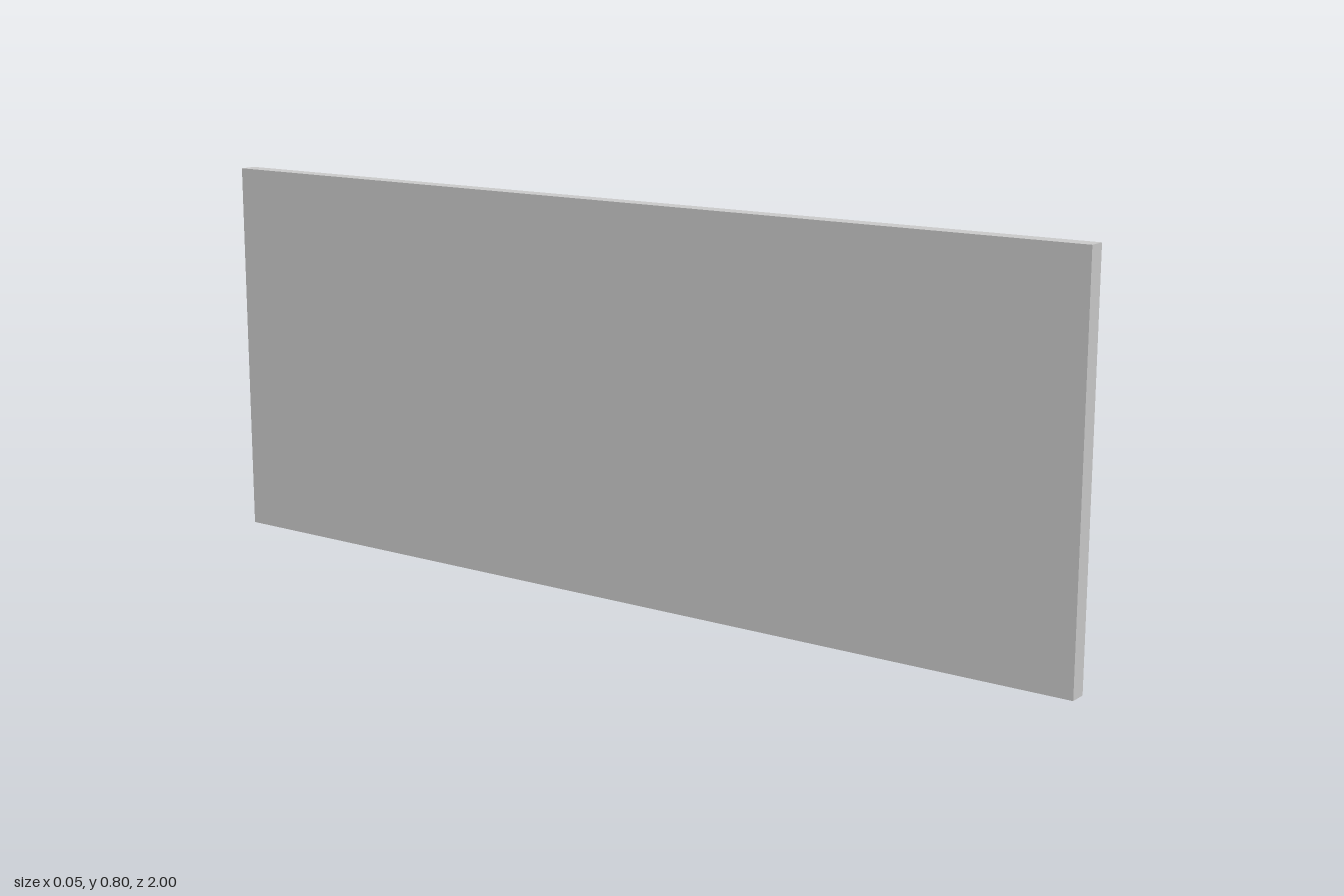
import * as THREE from 'three';

const H = 0.795, BACK = -0.023, FACE = 0.014, POCKET = 0.026;
const FITTING_Z = 0.84, CUP_Y = 0.748, CUP_R = 0.021;

export function createModel() {
  const group = new THREE.Group();
  const material = new THREE.MeshStandardMaterial({ color: 0xcccccc, flatShading: true });
  // The whole panel leans very slightly towards -x
  const lean = new THREE.Matrix4().makeShear(0, 0, -0.003 / H, 0, 0, 0);
  lean.set(1, -0.003 / H, 0, 0, 0, 1, 0, 0, 0, 0, 1, 0, 0, 0, 0, 1);

  const add = (name, geometry, parent = group) => {
    geometry.applyMatrix4(lean);
    const mesh = new THREE.Mesh(geometry, material);
    mesh.name = name;
    parent.add(mesh);
  };
  // Extrude a (z, y) outline along +x, starting at x
  const extrudeX = (shape, depth, x) =>
    new THREE.ExtrudeGeometry(shape, { depth, bevelEnabled: false, curveSegments: 20 })
      .rotateY(Math.PI / 2).translate(x, 0, 0);

  // Solid back layer
  const backDepth = FACE - POCKET - BACK;
  add('panelBack', new THREE.BoxGeometry(backDepth, H, 2).translate(BACK + backDepth / 2, H / 2, 0));

  // Face layer with a round pocket and a narrow neck above it at each fitting
  const face = new THREE.Shape();
  face.moveTo(-1, 0).lineTo(1, 0).lineTo(1, H).lineTo(-1, H).closePath();
  for (const side of [-1, 1]) {
    const cup = new THREE.Path(), z = side * FITTING_Z, a = 0.95;
    cup.absarc(z, CUP_Y, CUP_R, Math.PI - a, a, false);
    cup.lineTo(z + CUP_R * Math.cos(a), 0.78);
    cup.lineTo(z - CUP_R * Math.cos(a), 0.78);
    cup.closePath();
    face.holes.push(cup);
  }
  add('panelFace', extrudeX(face, POCKET, FACE - POCKET));

  // Domed side profile of a lug
  const lug = new THREE.Shape();
  lug.moveTo(FACE - 0.002, 0.703).lineTo(FACE + 0.004, 0.703);
  lug.quadraticCurveTo(FACE + 0.0205, 0.73, FACE + 0.004, 0.757);
  lug.lineTo(FACE - 0.002, 0.757).closePath();

  for (const side of [-1, 1]) {
    const fitting = new THREE.Group();
    fitting.name = side > 0 ? 'frontFitting' : 'backFitting';
    group.add(fitting);
    const z = side * FITTING_Z;
    for (const s of [-1, 1]) {
      const geometry = new THREE.ExtrudeGeometry(lug, { depth: 0.035, bevelEnabled: false, curveSegments: 10 });
      add('lug', geometry.translate(0, 0, z + s * 0.0405 - 0.0175), fitting);
    }
    // Thin plate under the pocket joining the lugs
    const plate = new THREE.Shape();
    plate.moveTo(z - 0.024, 0.703).lineTo(z + 0.024, 0.703).lineTo(z + 0.024, CUP_Y);
    plate.lineTo(z + CUP_R, CUP_Y);
    plate.absarc(z, CUP_Y, CUP_R, 0, Math.PI, true);
    plate.lineTo(z - 0.024, CUP_Y).closePath();
    add('plate', extrudeX(plate, 0.004, FACE - 0.001), fitting);
  }
  return group;
}
